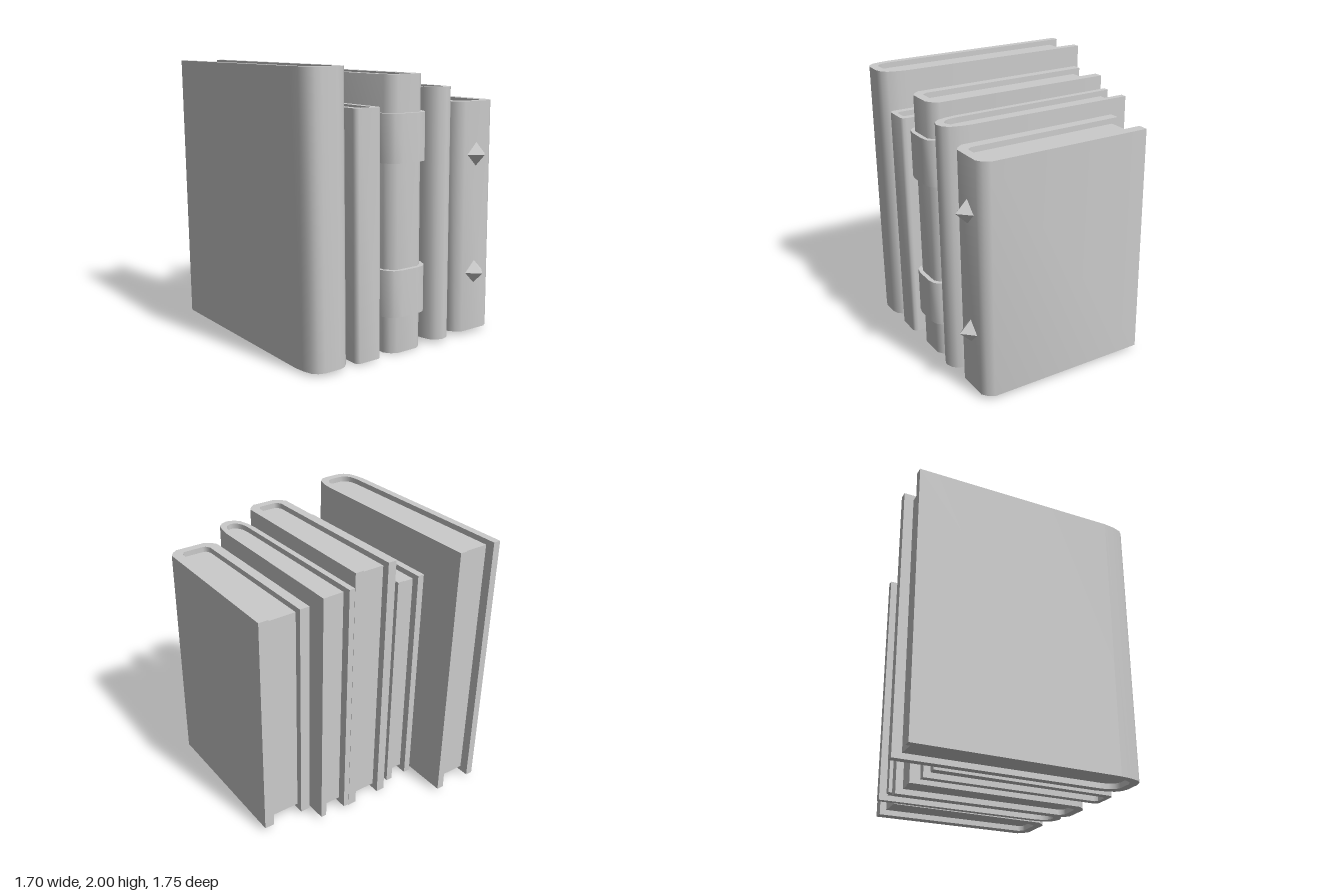
import * as THREE from 'three';
import { toCreasedNormals } from 'three/addons/utils/BufferGeometryUtils.js';

const material = new THREE.MeshStandardMaterial({ color: 0xcccccc });
const LEAN = 0.0095; // every book leans slightly towards -x as it rises

// Half outline, back to spine. corner = [[inset from side, distance from front], ...]
function halfOutline(half, taper, back, front, corner) {
  return [[half, back], ...corner.map(([i, d]) => [half - taper - i, front - d])];
}

// Full outline running from the right back end round the spine to the left back end
function fullOutline(half) {
  return [...half, ...half.slice().reverse().map(([x, z]) => [-x, z])];
}

// Upright prism from an x/z outline, leaning along x
function prism(outline, y0, y1, cx) {
  const shape = new THREE.Shape(outline.map(([x, z]) => new THREE.Vector2(x, -z)));
  let g = new THREE.ExtrudeGeometry(shape, { depth: y1 - y0, bevelEnabled: false });
  g.rotateX(-Math.PI / 2).translate(cx, y0, 0);
  const p = g.attributes.position;
  for (let i = 0; i < p.count; i++) p.setX(i, p.getX(i) + LEAN * (1 - p.getY(i)));
  return toCreasedNormals(g, 0.82);
}

function add(group, name, geometry) {
  const mesh = new THREE.Mesh(geometry, material);
  mesh.name = name;
  group.add(mesh);
  return mesh;
}

const ROUND = [[0, 0.2], [0.01, 0.12], [0.03, 0.05], [0.065, 0.015], [0.11, 0]];
const ROUND_IN = [[0, 0.12], [0.008, 0.06], [0.03, 0.02], [0.065, 0]];
const SQUARE = [[0, 0.035], [0.008, 0.012], [0.025, 0]];
const SQUARE_IN = [[0, 0.025], [0.015, 0]];
const CHAMFER = [[0, 0.07], [0.03, 0.028], [0.07, 0]];
const CHAMFER_IN = [[0, 0.04], [0.02, 0.006], [0.04, 0]];

// cx, half width, y range, z range, back of the pages, board thickness, spine corners
const BOOKS = [
  { name: 'tallBook', cx: -0.667, half: 0.178, y: [0.02, 2], z: [-0.87, 0.83], pages: -0.8, t: 0.055, out: ROUND, inn: ROUND_IN },
  { name: 'thinBook', cx: -0.353, half: 0.114, y: [0.01, 1.73], z: [-0.555, 0.815], pages: -0.5, t: 0.05, out: SQUARE, inn: SQUARE_IN },
  { name: 'strappedBook', cx: 0, half: 0.168, y: [0, 1.935], z: [-0.605, 0.79], pages: -0.55, t: 0.065, out: CHAMFER, inn: CHAMFER_IN },
  { name: 'roundSpineBook', cx: 0.309, half: 0.124, y: [0.03, 1.84], z: [-0.625, 0.825], pages: -0.56, t: 0.043, out: ROUND, inn: ROUND_IN },
  { name: 'studdedBook', cx: 0.641, half: 0.194, y: [0.03, 1.73], z: [-0.49, 0.795], pages: -0.44, t: 0.075, out: CHAMFER, inn: CHAMFER_IN },
];

function makeBook(b) {
  const group = new THREE.Group();
  group.name = b.name;
  const taper = 0.008;
  const front = b.z[1] - (b.name === 'thinBook' ? 0.035 : 0.062);
  const outer = halfOutline(b.half, taper, b.z[0], b.z[1], b.out);
  const inner = halfOutline(b.half - b.t, taper, b.z[0], front, b.inn);
  // cover: boards and spine as one bent strip
  const strip = [...fullOutline(outer), ...fullOutline(inner).reverse()];
  add(group, 'cover', prism(strip, b.y[0], b.y[1], b.cx));
  // page block, set back from the cover edges
  const block = halfOutline(b.half - b.t + 0.003, taper, b.pages, front + 0.003, b.inn);
  add(group, 'pages', prism(fullOutline(block), b.y[0] + 0.04, b.y[1] - 0.04, b.cx));
  return group;
}

// Strap wrapped round a spine, with a round button on the right-hand board
function makeStrap(y0, y1) {
  const group = new THREE.Group();
  group.name = 'strap';
  const outer = halfOutline(0.193, 0.004, 0.275, 0.822, [[0, 0.11], [0.03, 0.045], [0.06, 0.015], [0.12, 0]]);
  const inner = halfOutline(0.16, 0.004, 0.275, 0.78, [[0, 0.07], [0.07, 0]]);
  add(group, 'strapBand', prism([...fullOutline(outer), ...fullOutline(inner).reverse()], y0, y1, 0));
  const y = (y0 + y1) / 2;
  const profile = [[0.11, -0.02], [0.11, 0.012], [0.098, 0.02], [0.085, 0.022], [0.08, 0.042], [0.06, 0.048], [0, 0.048]];
  const g = new THREE.LatheGeometry(profile.map(([r, h]) => new THREE.Vector2(r, h)), 16);
  g.rotateZ(Math.PI / 2);
  const button = add(group, 'strapButton', toCreasedNormals(g, 0.6));
  button.position.set(-0.192 + LEAN * (1 - y), y, 0.465);
  return group;
}

export function createModel() {
  const model = new THREE.Group();
  model.name = 'bookRow';
  const books = BOOKS.map(makeBook);
  model.add(...books);

  // straps on the middle book
  books[2].add(makeStrap(0.27, 0.605), makeStrap(1.345, 1.68));

  // pointed studs on the spine of the last book
  for (const [x, y] of [[0.632, 1.35], [0.643, 0.475]]) {
    const stud = add(books[4], 'spineStud', new THREE.OctahedronGeometry(0.092));
    stud.position.set(x, y, 0.788);
  }
  return model;
}
